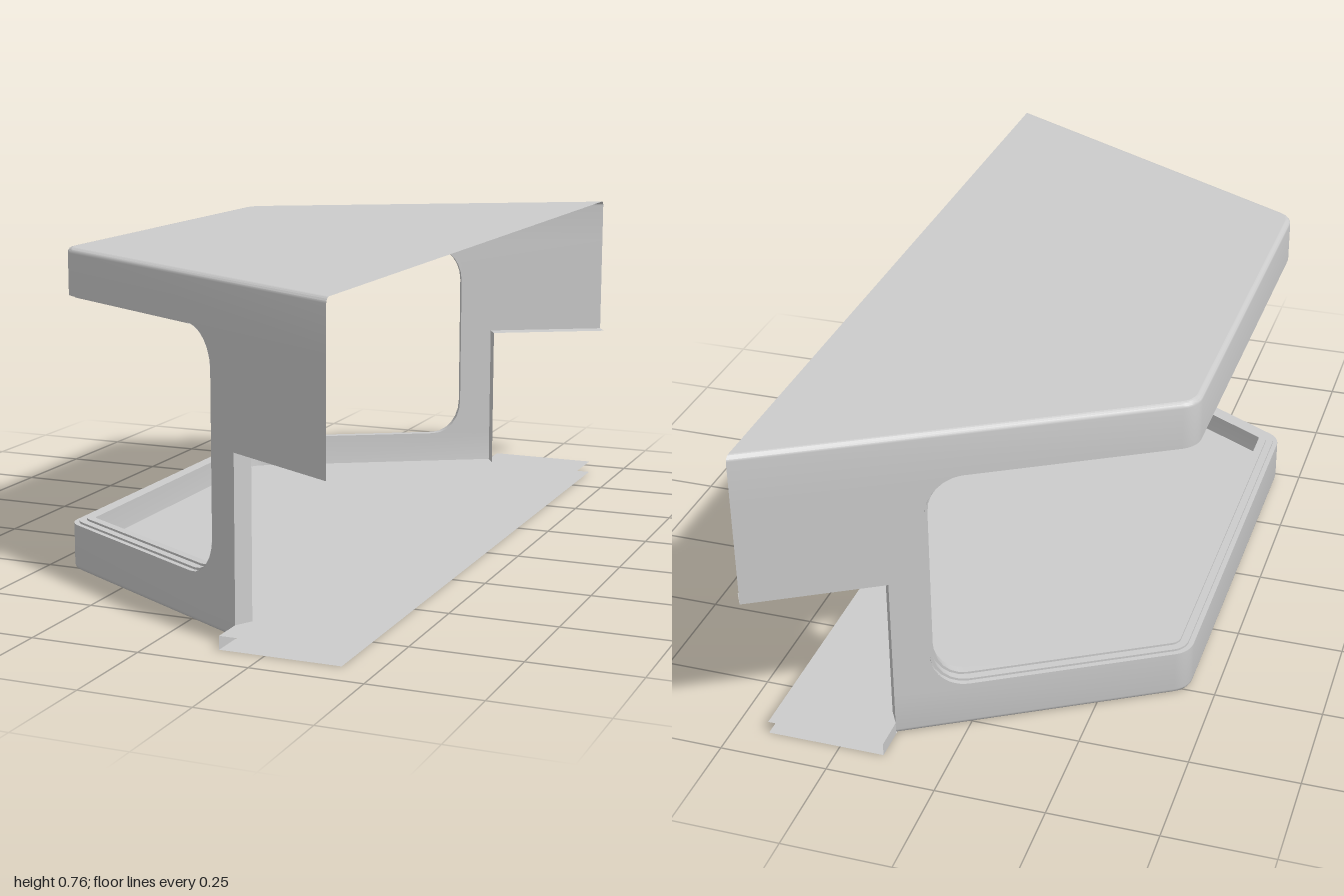
import * as THREE from 'three';
import { toCreasedNormals } from 'three/addons/utils/BufferGeometryUtils.js';

// Plan: a trapezoid narrowing towards -x, side walls slanted by 30 degrees
const BACK = 0.42, FRONT = -0.44, STEP = 0.147, R = 0.06;
const TOP = 0.76, SILL = 0.11, HEAD = 0.65, SOFFIT = 0.4, FLOOR = 0.03, FILLET = 0.012;
const COS = Math.cos(Math.PI / 6), TAN = Math.tan(Math.PI / 6);

const mat = new THREE.MeshStandardMaterial({ color: 0xcccccc, side: THREE.DoubleSide });

const wallZ = x => 1 - (BACK - x) * TAN;
// Point on a side wall, moved inwards by d at right angles to it
const onSide = (x, y, d, side) => [x + 0.5 * d, y, side * (wallZ(x) - COS * d)];

// Rounded front corner at inset d, from the side wall to the front
function corner(y, d, side) {
  const cx = FRONT + R;
  const cz = wallZ(cx) - R / COS;
  const pts = [];
  for (let i = 0; i <= 6; i++) {
    const a = Math.PI * (2 / 3 + i / 18);
    pts.push([cx + (R - d) * Math.cos(a), y, side * (cz + (R - d) * Math.sin(a))]);
  }
  return pts;
}

// Wall line from one back end round the front to the other
function wallLine(y, d, xEnd) {
  const z = wallZ(xEnd) - d / COS;
  return [[xEnd, y, z], ...corner(y, d, 1), ...corner(y, d, -1).reverse(), [xEnd, y, -z]];
}

// Surface through rows of points
function loft(rows, crease = 0.5) {
  const n = rows[0].length, index = [];
  for (let j = 0; j < rows.length - 1; j++) {
    for (let i = 0; i < n - 1; i++) {
      const a = j * n + i, b = a + n;
      index.push(a, b, a + 1, a + 1, b, b + 1);
    }
  }
  const g = new THREE.BufferGeometry();
  g.setAttribute('position', new THREE.Float32BufferAttribute(rows.flat(2), 3));
  g.setIndex(index);
  return toCreasedNormals(g, crease);
}

// Horizontal sheet from a plan outline
function sheet(points, y, up = true) {
  const shape = new THREE.Shape(points.map(p => new THREE.Vector2(p[0], -p[2])));
  const g = new THREE.ShapeGeometry(shape);
  g.rotateX(up ? -Math.PI / 2 : Math.PI / 2);
  g.translate(0, y, 0);
  return g;
}

// Rounded end of the window opening on a side wall, shrunk by k
function windowEnd(d, k, side) {
  const rx = 0.075 - k, ry = 0.09, pts = [];
  for (let i = 0; i <= 6; i++) {
    const a = i / 6 * Math.PI / 2;
    pts.push([rx * Math.sin(a), SILL + k + ry * (1 - Math.cos(a))]);
  }
  const upper = pts.map(([x, y]) => [x, SILL + HEAD - y]).reverse();
  return [...pts, ...upper].map(([x, y]) => onSide(x, y, d, side));
}

// Whole closed outline of the wrap-round window at depth d
function windowLoop(d, k) {
  const top = HEAD - k, bottom = SILL + k;
  const loop = [
    ...windowEnd(d, k, 1), ...corner(top, d, 1), ...corner(top, d, -1).reverse(),
    ...windowEnd(d, k, -1).reverse(), ...corner(bottom, d, -1), ...corner(bottom, d, 1).reverse(),
  ];
  return [...loop, loop[0]];
}

// Wall between window and back edge, including the rounded window end
function sidePanel(side) {
  const s = new THREE.Shape();
  s.moveTo(0, SILL);
  s.lineTo(STEP, SILL);
  s.lineTo(STEP, SOFFIT);
  s.lineTo(BACK, SOFFIT);
  s.lineTo(BACK, HEAD);
  s.lineTo(0, HEAD);
  s.absellipse(0, HEAD - 0.09, 0.075, 0.09, Math.PI / 2, 0, true);
  s.lineTo(0.075, SILL + 0.09);
  s.absellipse(0, SILL + 0.09, 0.075, 0.09, 0, -Math.PI / 2, true);
  const g = new THREE.ShapeGeometry(s, 6);
  const p = g.attributes.position;
  for (let i = 0; i < p.count; i++) p.setZ(i, side * wallZ(p.getX(i)));
  if (side < 0) {
    const idx = g.index.array;
    for (let i = 0; i < idx.length; i += 3) [idx[i], idx[i + 1]] = [idx[i + 1], idx[i]];
  }
  g.computeVertexNormals();
  return g;
}

export function createModel() {
  const group = new THREE.Group();
  const add = (name, geometry) => {
    const mesh = new THREE.Mesh(geometry, mat);
    mesh.name = name;
    group.add(mesh);
  };

  // Fillet steps as [inset, distance from the edge]
  const round = [0, 1, 2, 3, 4].map(i => {
    const a = i / 4 * Math.PI / 2;
    return [FILLET * (1 - Math.cos(a)), FILLET * (1 - Math.sin(a))];
  });

  // Roof with its rounded rim and the band above the window
  add('roofBand', loft([
    ...round.slice().reverse().map(([d, h]) => wallLine(TOP - h, d, BACK)),
    wallLine(HEAD, 0, BACK),
  ], 0.7));
  add('roof', sheet(wallLine(0, FILLET, BACK), TOP));

  // Band below the window
  add('baseBand', loft([
    wallLine(SILL, 0, STEP),
    ...round.map(([d, h]) => wallLine(h, d, STEP)),
  ], 0.7));

  // Floor sheets widen into a rectangle behind the side walls
  const floorOutline = d => [
    [BACK, 0, 0.92], [STEP, 0, 0.92], ...wallLine(0, d, STEP), [STEP, 0, -0.92], [BACK, 0, -0.92],
  ];
  add('floor', sheet(floorOutline(0), FLOOR));
  add('underside', sheet(floorOutline(FILLET), 0, false));

  // Stepped reveal round the window
  const reveal = [[0, 0], [0.012, 0], [0.012, 0.005], [0.03, 0.005], [0.03, 0.01], [0.05, 0.01]];
  add('windowReveal', loft(reveal.map(([d, k]) => windowLoop(d, k))));

  for (const side of [1, -1]) {
    const label = side > 0 ? 'Left' : 'Right';
    add('sidePanel' + label, sidePanel(side));

    // Narrow returns along the stepped back edge
    const edge = d => [
      onSide(STEP, FLOOR, d, side), onSide(STEP, SOFFIT, d, side), onSide(BACK, SOFFIT, d, side),
    ];
    add('edgeReturn' + label, loft([edge(0), edge(0.044)]));

    // Closure between the floor sheets where they widen
    const end = y => [[STEP, y, side * wallZ(STEP)], [STEP, y, side * 0.92]];
    add('floorEnd' + label, loft([end(FLOOR), end(0)]));
  }
  return group;
}
